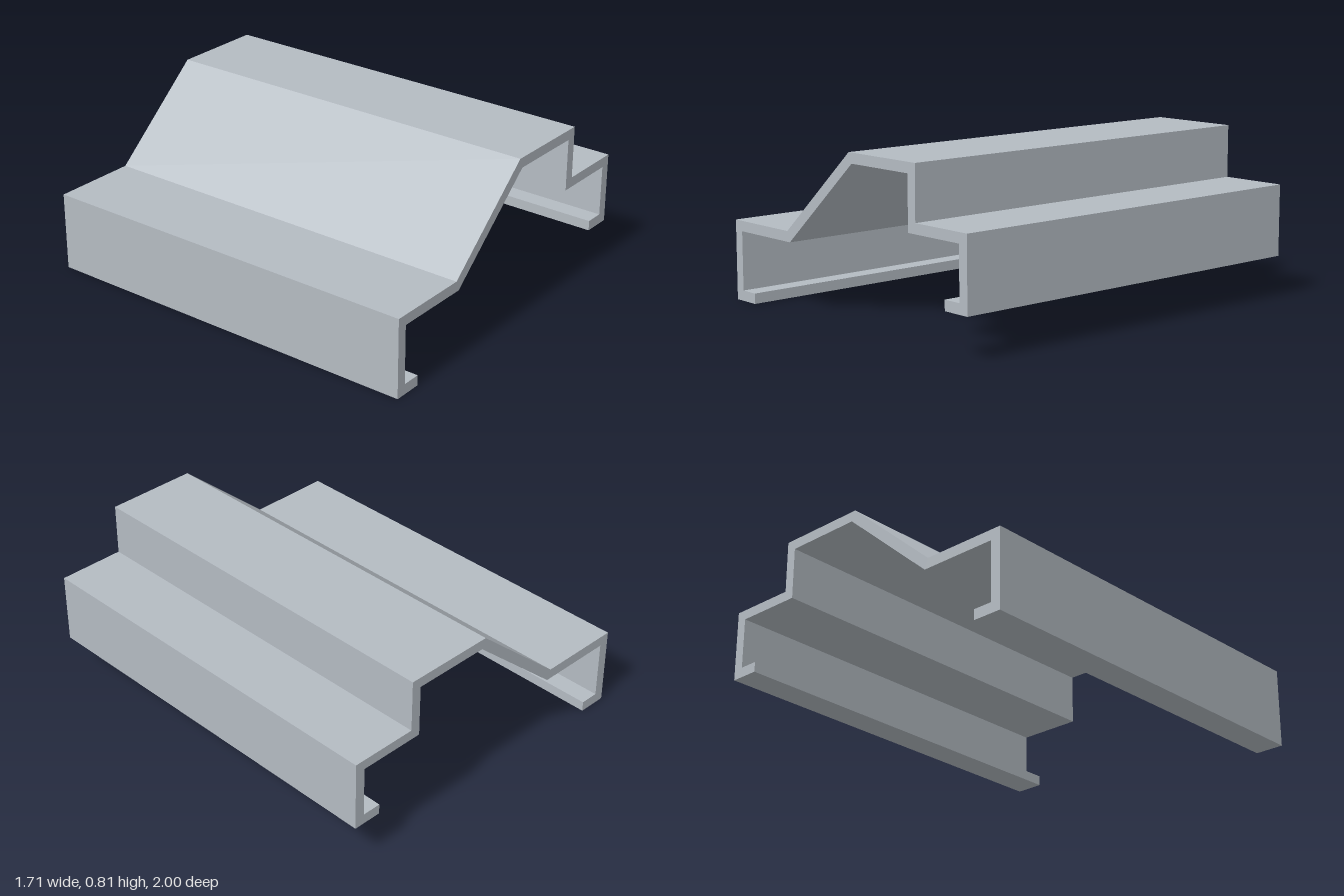
import * as THREE from 'three';

export function createModel() {
  const group = new THREE.Group();
  group.name = 'steppedProfile';

  const metal = new THREE.MeshStandardMaterial({ color: 0xb4bbc2 });
  metal.name = 'brushed grey';

  // Constant-thickness cross-section: upper skin left to right, then underside back
  const section = [
    // left leg and upper skin
    [-0.854, 0], [-0.854, 0.393], [-0.428, 0.393], [0.053, 0.812],
    [0.516, 0.812], [0.516, 0.553], [0.854, 0.553], [0.854, 0.201],
    // right lip and underside
    [0.708, 0.201], [0.708, 0.251], [0.803, 0.251], [0.803, 0.504],
    [0.466, 0.504], [0.466, 0.762], [0.073, 0.762], [-0.409, 0.342],
    // left lip
    [-0.803, 0.342], [-0.803, 0.051], [-0.708, 0.051], [-0.708, 0],
  ];
  const shape = new THREE.Shape(section.map(([x, y]) => new THREE.Vector2(x, y)));

  // Straight extrusion along z
  const length = 2;
  const geometry = new THREE.ExtrudeGeometry(shape, { depth: length, bevelEnabled: false });
  geometry.translate(0, 0, -length / 2);

  const channel = new THREE.Mesh(geometry, metal);
  channel.name = 'foldedChannel';
  group.add(channel);
  return group;
}
